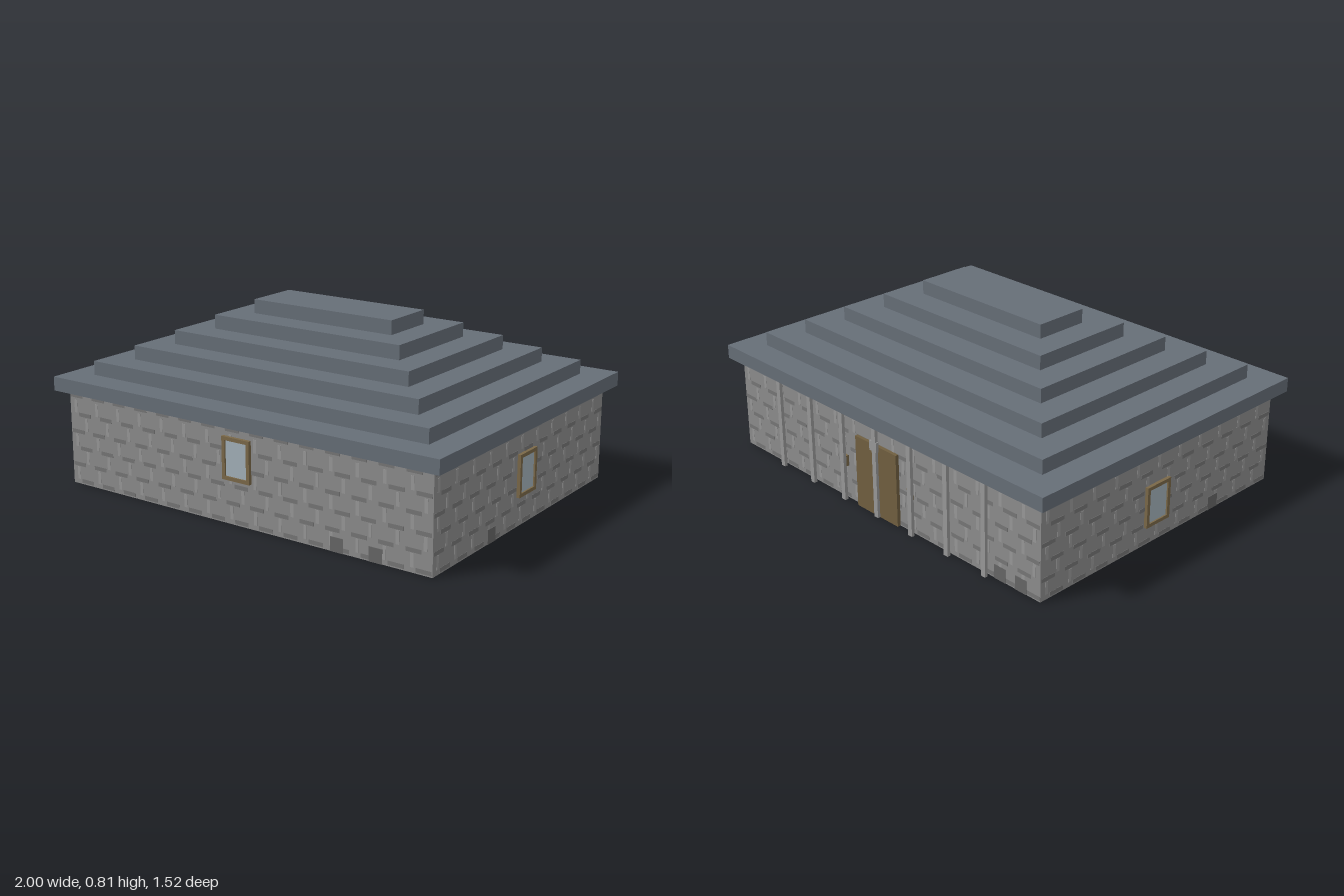
import * as THREE from 'three';
import { mergeGeometries } from 'three/addons/utils/BufferGeometryUtils.js';

const W = 0.95, D = 0.716, EAVE = 0.432;

const mat = (color) => new THREE.MeshStandardMaterial({ color });
const stone = mat(0x8c8c8c), darkStone = mat(0x767676), paleStone = mat(0x989898);
const rubble = mat(0x666666), slate = mat(0x666e77), wood = mat(0x7a6848);
const doorWood = mat(0x705f40), glass = mat(0xa3b0b8);

const boxGeo = (w, h, d, x, y, z) => new THREE.BoxGeometry(w, h, d).translate(x, y, z);

function box(parent, name, material, w, h, d, x, y, z) {
  const mesh = new THREE.Mesh(boxGeo(w, h, d, x, y, z), material);
  mesh.name = name;
  parent.add(mesh);
  return mesh;
}

// Window built around the origin of a wall face, looking along local +z
function makeWindow(y, x) {
  const g = new THREE.Group();
  g.name = 'window';
  const w = 0.143, h = 0.187, b = 0.016;
  const shape = new THREE.Shape();
  shape.moveTo(-w / 2, -h / 2).lineTo(w / 2, -h / 2).lineTo(w / 2, h / 2).lineTo(-w / 2, h / 2).closePath();
  const hole = new THREE.Path();
  const iw = w / 2 - b, ih = h / 2 - b;
  hole.moveTo(-iw, -ih).lineTo(-iw, ih).lineTo(iw, ih).lineTo(iw, -ih).closePath();
  shape.holes.push(hole);
  const frame = new THREE.Mesh(new THREE.ExtrudeGeometry(shape, { depth: 0.015, bevelEnabled: false }), wood);
  frame.name = 'windowFrame';
  g.add(frame);
  box(g, 'windowPane', glass, w - 2 * b, h - 2 * b, 0.008, 0, 0, 0.004);
  g.position.set(x, y, 0);
  return g;
}

// Shallow masonry courses over a wall face of half-width half
function makeMasonry(half) {
  const g = new THREE.Group();
  g.name = 'masonry';
  const dark = [], pale = [];
  const n = Math.round((2 * half) / 0.13), step = (2 * half) / n, t = 0.002;
  const rows = [0.015, 0.093, 0.17, 0.247, 0.327, 0.412];
  rows.forEach((y, r) => {
    for (let i = 0; i < n; i++) {
      const x = -half + step * (i + (r % 2 ? 0.32 : 0.68));
      dark.push(boxGeo(step * 0.56, 0.018, t, x, y, 0));
      const px = x + step * (r % 2 ? 0.42 : -0.42);
      if (r < 5) pale.push(boxGeo(0.016, 0.058, t, px, y + 0.036, 0));
    }
  });
  for (const [name, list, m] of [['darkCourses', dark, darkStone], ['paleJoints', pale, paleStone]]) {
    const mesh = new THREE.Mesh(mergeGeometries(list), m);
    mesh.name = name;
    g.add(mesh);
  }
  return g;
}

export function createModel() {
  const model = new THREE.Group();
  model.name = 'house';
  box(model, 'walls', stone, 2 * W, EAVE, 2 * D, 0, EAVE / 2, 0);

  // Stepped roof
  const roof = new THREE.Group();
  roof.name = 'roof';
  const tiers = [[1, 0.762], [0.874, 0.635], [0.746, 0.508], [0.618, 0.382], [0.49, 0.255], [0.366, 0.127]];
  const step = 0.0635;
  tiers.forEach(([x, z], i) => box(roof, 'roofTier', slate, 2 * x, step, 2 * z, 0, EAVE + step * (i + 0.5), 0));
  model.add(roof);

  // Each wall face: turn, distance, half-width, window [x, y], loose stones along local x
  const faces = [
    { name: 'frontFace', turn: 0, dist: D, half: W, win: [0.005, 0.29], stones: [0.505, 0.69] },
    { name: 'leftFace', turn: Math.PI / 2, dist: W, half: D, win: [0.005, 0.225], stones: [-0.27] },
    { name: 'backFace', turn: Math.PI, dist: D, half: W, stones: [0.73, 0.845] },
    { name: 'rightFace', turn: -Math.PI / 2, dist: W, half: D, win: [-0.04, 0.178], stones: [0.34] },
  ];
  for (const f of faces) {
    const g = new THREE.Group();
    g.name = f.name;
    g.rotation.y = f.turn;
    g.position.set(Math.sin(f.turn) * f.dist, 0, Math.cos(f.turn) * f.dist);
    g.add(makeMasonry(f.half));
    if (f.win) g.add(makeWindow(f.win[1], f.win[0]));
    for (const x of f.stones) box(g, 'baseStone', rubble, 0.062, 0.063, 0.005, x, 0.0315, 0);
    model.add(g);
  }

  // Entrance at the back: double door, hanging ornament and small wall brackets
  const entrance = new THREE.Group();
  entrance.name = 'entrance';
  for (const s of [-1, 1]) {
    box(entrance, 'doorLeaf', doorWood, 0.13, 0.335, 0.016, s * 0.066, 0.1675, -D - 0.008);
    box(entrance, 'wallBracket', wood, 0.028, 0.05, 0.014, s * 0.212 + 0.004, 0.185, -D - 0.007);
  }
  box(entrance, 'doorOrnament', paleStone, 0.045, 0.045, 0.014, 0, 0.335, -D - 0.022);
  model.add(entrance);

  // Row of slim posts carrying the back eave
  for (let i = -3; i <= 3; i++) {
    box(model, 'post', paleStone, 0.024, EAVE, 0.015, i * 0.219 - 0.005, EAVE / 2, -D - 0.0215);
  }
  return model;
}
